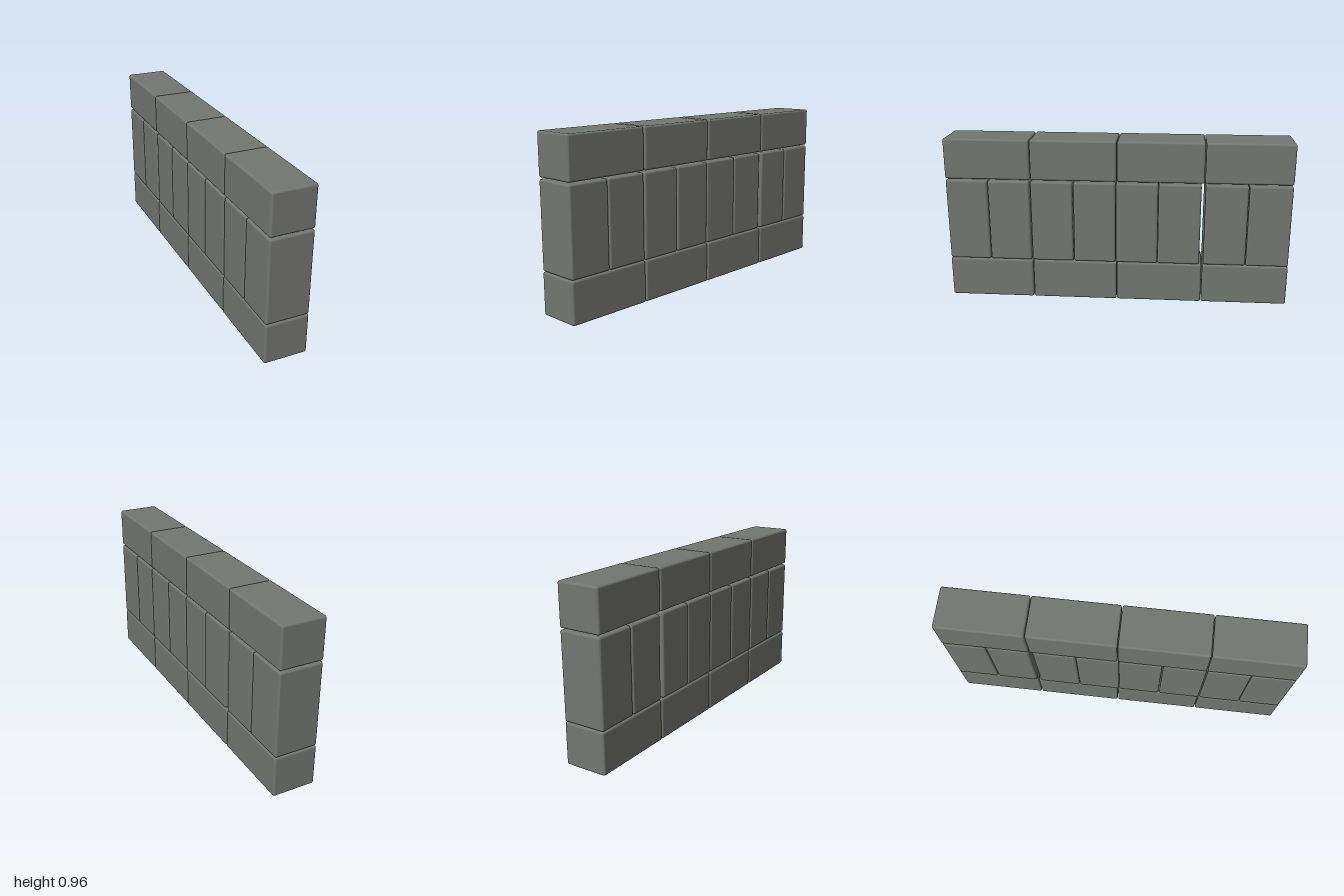
import * as THREE from 'three';
import { RoundedBoxGeometry } from 'three/addons/geometries/RoundedBoxGeometry.js';

export function createModel() {
  const model = new THREE.Group();
  model.name = 'brickWall';
  const stone = new THREE.MeshStandardMaterial({ color: 0x747672 });
  stone.name = 'greyStone';

  const WIDTH = 0.248, BEVEL = 0.012;
  // One block shape for the lying courses, one for the upright course
  const lying = new RoundedBoxGeometry(WIDTH, 0.236, 0.497, 3, BEVEL);
  const upright = new RoundedBoxGeometry(WIDTH, 0.483, 0.244, 3, BEVEL);

  // Lays a row of blocks along z at the given height
  function course(name, geometry, y, centres) {
    const row = new THREE.Group();
    row.name = name;
    centres.forEach((z, i) => {
      const block = new THREE.Mesh(geometry, stone);
      block.name = `${name}Block${i + 1}`;
      block.position.set(0, y, z);
      row.add(block);
    });
    model.add(row);
  }

  const even = [0.7515, 0.2505, -0.2505, -0.7515];
  course('bottomCourse', lying, 0.118, even);
  // Upright blocks are spaced slightly unevenly, with one wider joint
  course('uprightCourse', upright, 0.4795,
    [0.877, 0.63, 0.38, 0.13, -0.116, -0.362, -0.629, -0.877]);
  course('topCourse', lying, 0.847, even);

  return model;
}
